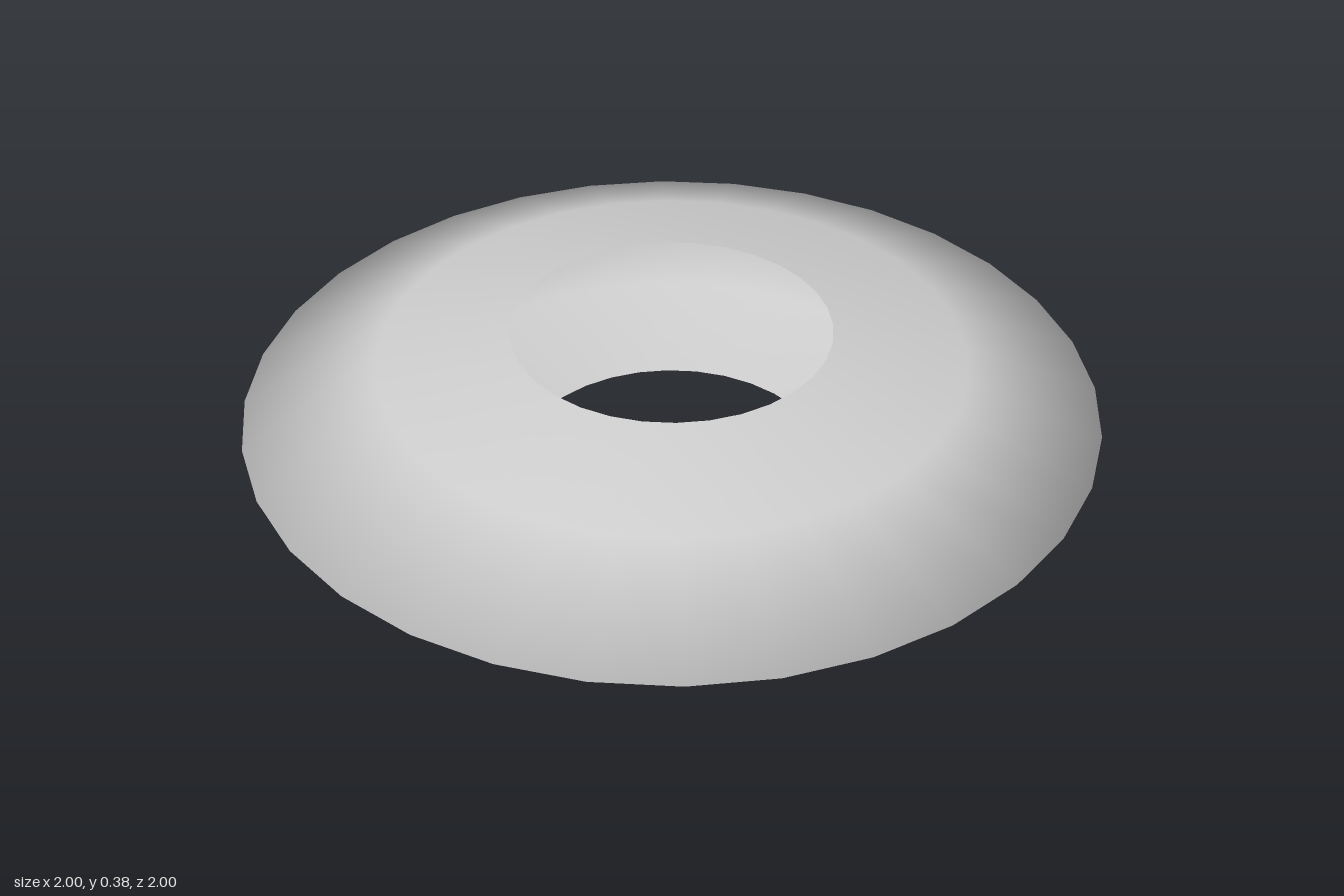
import * as THREE from 'three';

export function createModel() {
  const group = new THREE.Group();

  // Hollow ring shell: thin outer rim, open round hole top and bottom
  const half = [[0.373, 0.19], [0.685, 0.124], [1, 0]];
  const midY = 0.191;
  const lower = half.map(([r, h]) => new THREE.Vector2(r, midY - h));
  const upper = half.slice(0, 2).reverse().map(([r, h]) => new THREE.Vector2(r, midY + h));

  const shell = new THREE.Mesh(
    new THREE.LatheGeometry([...lower, ...upper], 32),
    new THREE.MeshStandardMaterial({ color: 0xcccccc, side: THREE.DoubleSide })
  );
  shell.name = 'ringShell';
  group.add(shell);
  return group;
}
